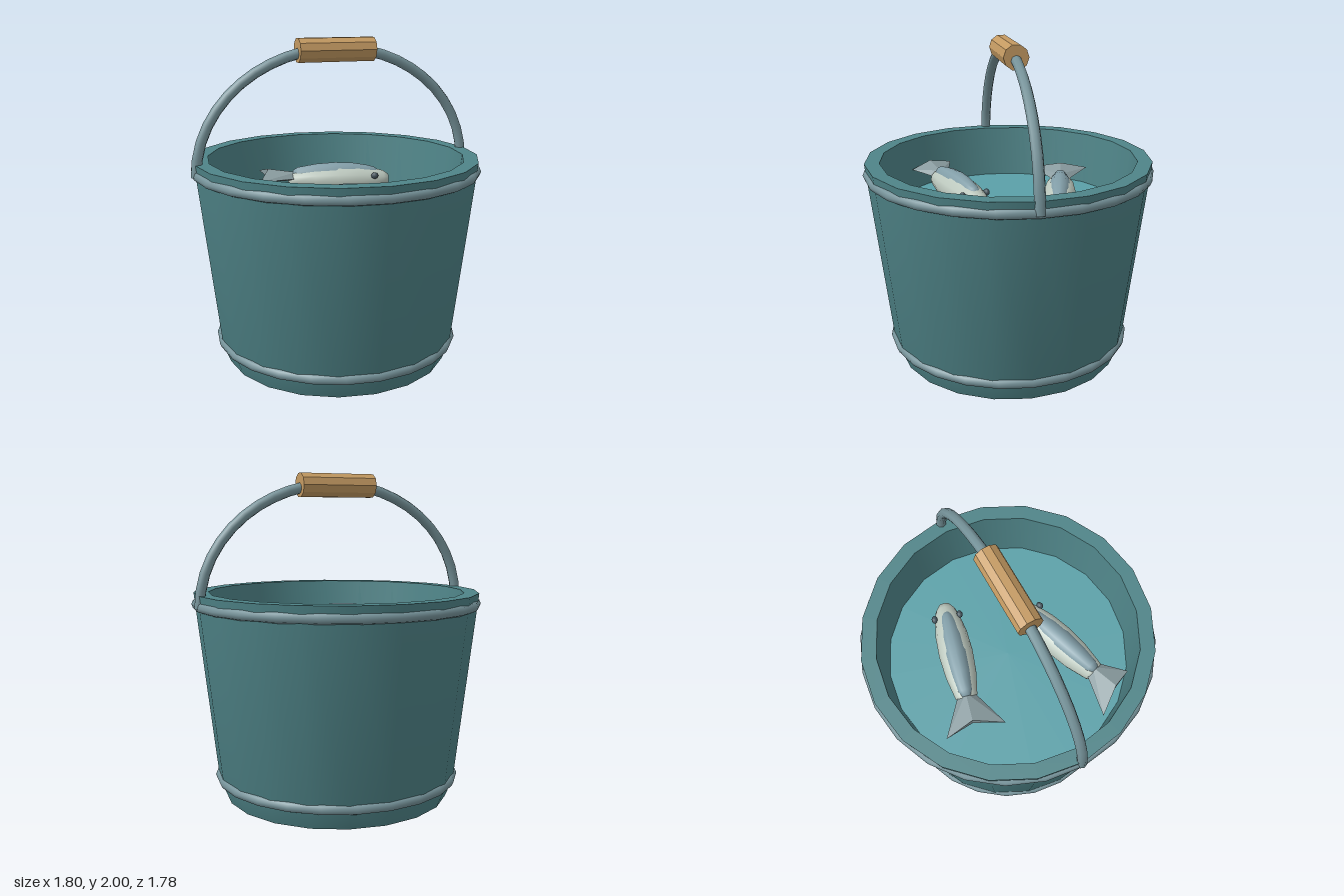
import * as THREE from 'three';
import { toCreasedNormals } from 'three/addons/utils/BufferGeometryUtils.js';
import { ConvexGeometry } from 'three/addons/geometries/ConvexGeometry.js';

const mat = (color, flatShading = false) => new THREE.MeshStandardMaterial({ color, flatShading });
const paint = mat(0x4f8488), metal = mat(0x76939a), wood = mat(0xc49a62, true);
const waterMat = mat(0x5aa0a8), scales = mat(0xbcc8be), back = mat(0x829ea8);
const fin = mat(0x8a9ca0, true), dark = mat(0x46565f);

function add(parent, name, geometry, material, x = 0, y = 0, z = 0) {
  const mesh = new THREE.Mesh(geometry, material);
  mesh.name = name;
  mesh.position.set(x, y, z);
  parent.add(mesh);
  return mesh;
}

const lathe = (points, sides) =>
  new THREE.LatheGeometry(points.map(([r, y]) => new THREE.Vector2(r, y)), sides);

// Blunt-ended body of revolution lying along x, head towards +x
function bodyGeometry() {
  return lathe([[0, -0.335], [0.045, -0.325], [0.068, -0.29], [0.095, -0.15], [0.106, 0],
    [0.1, 0.13], [0.08, 0.24], [0.062, 0.3], [0.035, 0.335], [0, 0.34]], 12).rotateZ(-Math.PI / 2);
}

// Each tail lobe is a thin wedge with a raised middle ridge
function lobeGeometry(tipX, tipZ) {
  const side = Math.sign(tipZ);
  return new ConvexGeometry([
    [-0.28, 0.055, 0], [-0.28, 0, 0], [-0.28, 0.02, side * 0.05],
    [-0.465, 0.08, 0], [-0.465, 0.02, 0], [tipX, 0.035, tipZ],
  ].map((p) => new THREE.Vector3(...p)));
}

function makeFish(name, x, z, turn, tips) {
  const fish = new THREE.Group();
  fish.name = name;
  add(fish, 'fishBody', bodyGeometry().scale(1, 0.92, 1), scales);
  add(fish, 'fishBack', bodyGeometry().scale(0.86, 0.78, 0.66), back, -0.02, 0.035, 0);
  for (const side of [-1, 1]) {
    const eye = add(fish, 'fishEye', new THREE.SphereGeometry(0.024, 10, 8), dark, 0.235, 0.04, side * 0.08);
    eye.scale.set(1, 0.9, 0.8);
  }
  tips.forEach(([tx, tz]) => add(fish, 'tailFin', lobeGeometry(tx, tz), fin));
  fish.position.set(x, 1.05, z);
  fish.rotation.y = turn;
  return fish;
}

export function createModel() {
  const model = new THREE.Group();
  model.name = 'bucketOfFish';

  // Tapered pail with thick wall, chamfered foot and floor
  const pail = lathe([[0, 0], [0.7, 0], [0.745, 0.11], [0.88, 1.28], [0.79, 1.28], [0.66, 0.1], [0, 0.1]], 20);
  add(model, 'pail', toCreasedNormals(pail, 0.6), paint);

  // Water surface
  add(model, 'water', new THREE.CircleGeometry(0.757, 20).rotateX(-Math.PI / 2), waterMat, 0, 0.95, 0);

  // Metal hoops
  for (const [name, radius, y] of [['lowerHoop', 0.735, 0.13], ['upperHoop', 0.86, 1.21]]) {
    add(model, name, new THREE.TorusGeometry(radius, 0.032, 8, 24).rotateX(Math.PI / 2), metal, 0, y, 0);
  }

  // Arched bail handle
  const arc = [];
  for (let i = 0; i <= 20; i++) {
    const a = Math.PI * i / 20;
    arc.push(new THREE.Vector3(0.868 * Math.cos(a), 1.2 + 0.735 * Math.sin(a), 0));
  }
  add(model, 'handle', new THREE.TubeGeometry(new THREE.CatmullRomCurve3(arc), 24, 0.032, 8), metal);
  for (const side of [-1, 1]) {
    const end = new THREE.CircleGeometry(0.032, 8).rotateX(Math.PI / 2);
    add(model, 'handleEnd', end, metal, side * 0.868, 1.2, 0);
  }

  // Wooden grip
  add(model, 'grip', new THREE.CylinderGeometry(0.075, 0.075, 0.48, 10).rotateZ(Math.PI / 2), wood, 0, 1.925, 0);

  // Two fish on the water
  model.add(makeFish('rearFish', 0.125, -0.3, -0.26, [[-0.527, -0.175], [-0.513, 0.19]]));
  model.add(makeFish('frontFish', -0.11, 0.3, 0.3, [[-0.53, -0.18], [-0.45, 0.135]]));
  return model;
}
